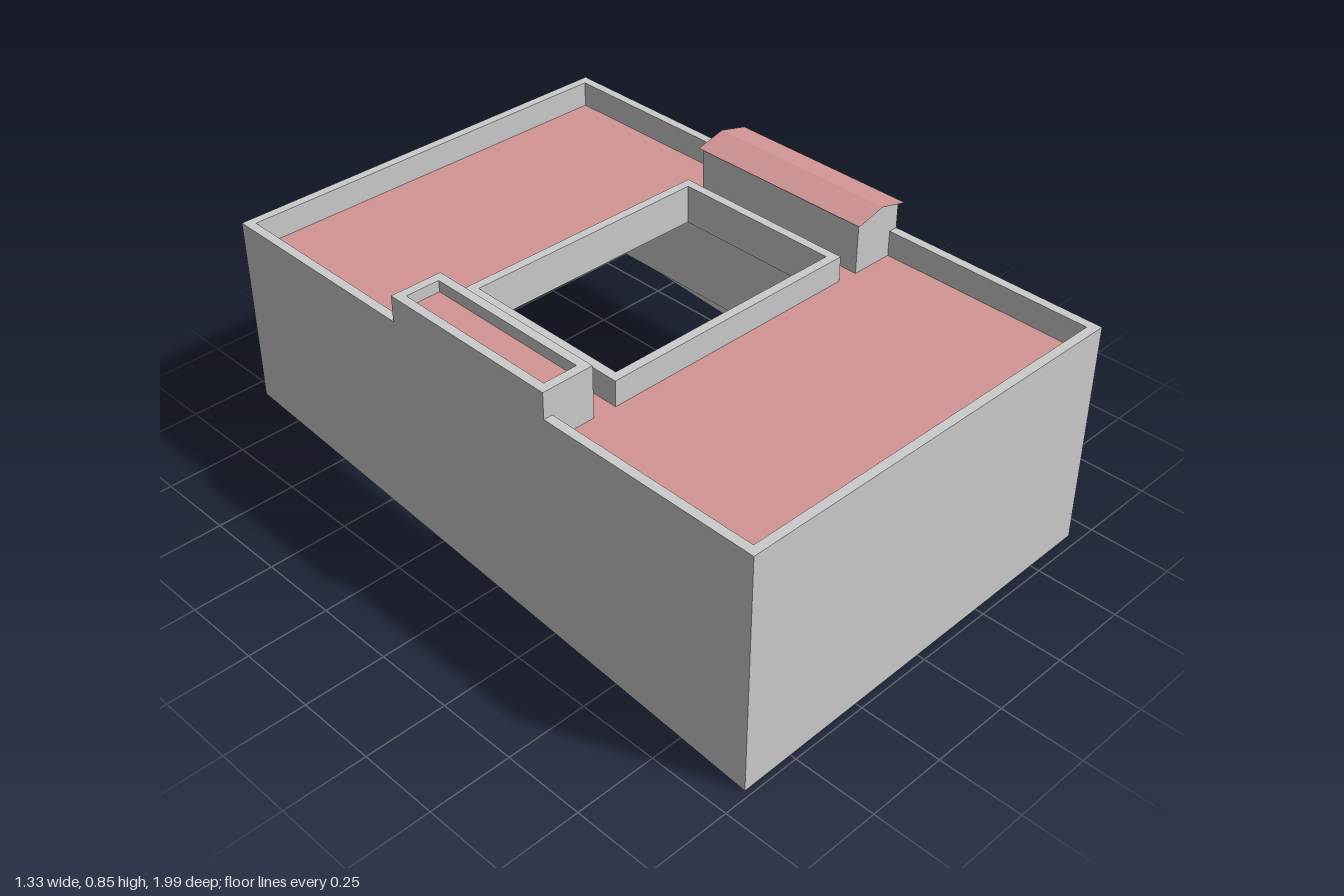
import * as THREE from 'three';

const grey = new THREE.MeshStandardMaterial({ color: 0xcccccc });
const greyThin = new THREE.MeshStandardMaterial({ color: 0xcccccc, side: THREE.DoubleSide });
const red = new THREE.MeshStandardMaterial({ color: 0xd49696 });
const redThin = new THREE.MeshStandardMaterial({ color: 0xd49696, side: THREE.DoubleSide });

// Rectangle on the ground plan: [x0, x1, z0, z1]
function outline([x0, x1, z0, z1], Type = THREE.Shape) {
  return new Type([[x0, -z1], [x1, -z1], [x1, -z0], [x0, -z0]].map(p => new THREE.Vector2(...p)));
}

function plan(outer, inner) {
  const shape = outline(outer);
  if (inner) shape.holes.push(outline(inner, THREE.Path));
  return shape;
}

const inset = ([x0, x1, z0, z1], d) => [x0 + d, x1 - d, z0 + d, z1 - d];

// Upright prism over a plan, with an optional opening
function block(name, outer, inner, y0, y1) {
  const geo = new THREE.ExtrudeGeometry(plan(outer, inner), { depth: y1 - y0, bevelEnabled: false });
  geo.rotateX(-Math.PI / 2).translate(0, y0, 0);
  const mesh = new THREE.Mesh(geo, grey);
  mesh.name = name;
  return mesh;
}

// Flat coloured surface over a plan
function cover(name, outer, inner, y) {
  const geo = new THREE.ShapeGeometry(plan(outer, inner));
  geo.rotateX(-Math.PI / 2).translate(0, y, 0);
  const mesh = new THREE.Mesh(geo, red);
  mesh.name = name;
  return mesh;
}

// Thin outer faces that run down to the sloping ground
function groundSkirt([x0, x1, z0, z1], top) {
  const corners = [[x0, 0, z1], [x1, 0.045, z1], [x1, 0.188, z0], [x0, 0.155, z0]];
  const pos = [];
  corners.forEach(([ax, ay, az], i) => {
    const [bx, by, bz] = corners[(i + 1) % 4];
    pos.push(ax, ay, az, bx, by, bz, bx, top, bz, ax, ay, az, bx, top, bz, ax, top, az);
  });
  const geo = new THREE.BufferGeometry();
  geo.setAttribute('position', new THREE.Float32BufferAttribute(pos, 3));
  geo.computeVertexNormals();
  const mesh = new THREE.Mesh(geo, greyThin);
  mesh.name = 'groundSkirt';
  return mesh;
}

// Small house on the roof with a pitched cover
function gabledHut() {
  const hut = new THREE.Group();
  hut.name = 'gabledHut';
  const ridge = [0.571, 0.847], eaves = [[0.476, 0.823], [0.666, 0.823]];

  const profile = new THREE.Shape();
  [[0.485, 0.64], [0.65, 0.64], [0.65, 0.825], [0.571, 0.844], [0.485, 0.825]]
    .forEach(([x, y], i) => (i ? profile.lineTo(x, y) : profile.moveTo(x, y)));
  const walls = new THREE.Mesh(
    new THREE.ExtrudeGeometry(profile, { depth: 0.596, bevelEnabled: false }).translate(0, 0, -0.298), grey);
  walls.name = 'hutWalls';
  hut.add(walls);

  const [l, r] = eaves, b = -0.308, f = 0.308;
  const pos = [];
  for (const [p, q] of [[l, ridge], [ridge, r]]) {
    pos.push(...p, f, ...q, f, ...q, b, ...p, f, ...q, b, ...p, b);
  }
  const geo = new THREE.BufferGeometry();
  geo.setAttribute('position', new THREE.Float32BufferAttribute(pos, 3));
  geo.computeVertexNormals();
  const roof = new THREE.Mesh(geo, redThin);
  roof.name = 'hutRoof';
  hut.add(roof);
  return hut;
}

export function createModel() {
  const model = new THREE.Group();
  model.name = 'courtyardBuilding';

  const outer = [-0.65, 0.65, -0.99, 0.99];
  const inside = inset(outer, 0.028);
  const court = [-0.417, 0.423, -0.297, 0.293];
  const box = [-0.65, -0.488, -0.3, 0.29];

  // Outer walls with parapet
  model.add(block('outerWalls', outer, inside, 0.19, 0.745));
  model.add(groundSkirt(outer, 0.19));

  // Main roof around the courtyard
  model.add(block('roofSlab', inside, court, 0.605, 0.664));
  model.add(cover('roofSurface', inside, court, 0.666));
  model.add(block('courtyardParapet', court, inset(court, 0.028), 0.625, 0.745));

  // Flat-topped hut with its own parapet
  const boxInside = inset(box, 0.028);
  model.add(block('flatHutWalls', box, boxInside, 0.64, 0.825));
  model.add(cover('flatHutRoof', boxInside, null, 0.79));

  model.add(gabledHut());

  // The plan is turned slightly
  model.rotation.y = -0.0105;
  model.position.x = -0.005;
  const root = new THREE.Group();
  root.name = 'building';
  root.add(model);
  return root;
}
